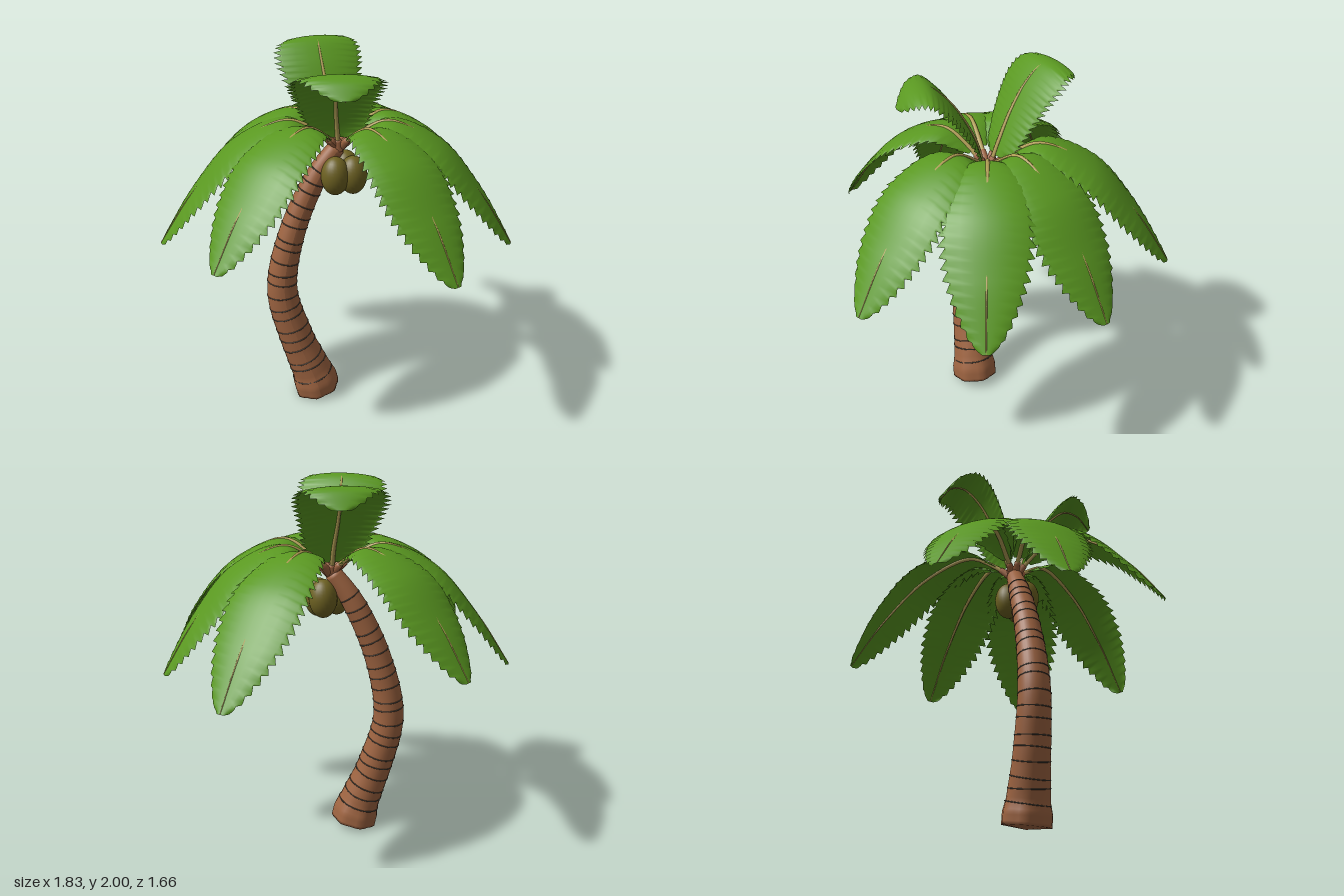
import * as THREE from 'three';

const V = (x, y, z) => new THREE.Vector3(x, y, z);
const UP = V(0, 1, 0);

// Interpolates a short table of [position, value] pairs
function profile(table) {
  return (t) => {
    let i = 0;
    while (i < table.length - 2 && t > table[i + 1][0]) i++;
    const [a, va] = table[i], [b, vb] = table[i + 1];
    return va + (vb - va) * THREE.MathUtils.clamp((t - a) / (b - a), 0, 1);
  };
}

// Tube whose radius follows radius(t, angle)
function taperedTube(curve, segments, sides, radius) {
  const geo = new THREE.TubeGeometry(curve, segments, 1, sides);
  const pos = geo.attributes.position, v = V(0, 0, 0);
  for (let i = 0; i <= segments; i++) {
    const centre = curve.getPointAt(i / segments);
    for (let j = 0; j <= sides; j++) {
      const k = i * (sides + 1) + j;
      v.fromBufferAttribute(pos, k).sub(centre);
      v.multiplyScalar(radius(i / segments, (j / sides) * Math.PI * 2)).add(centre);
      pos.setXYZ(k, v.x, v.y, v.z);
    }
  }
  geo.computeVertexNormals();
  return geo;
}

// Arched, saw-edged leaf swept along a curve
function bladeGeometry(curve, side, { halfWidth, start, sag }) {
  const teeth = 21, perTooth = 4, rows = teeth * perTooth;
  const columns = [-1, -0.84, -0.55, -0.28, 0, 0.28, 0.55, 0.84, 1];
  const n = columns.length, points = [], index = [];
  for (let i = 0; i <= rows; i++) {
    const t = start + (1 - start) * (i / rows);
    const p = curve.getPointAt(t), tangent = curve.getTangentAt(t);
    const normal = side.clone().cross(tangent).normalize();
    const w = halfWidth(t), saw = (i % perTooth) / (perTooth - 1);
    for (const u of columns) {
      const edge = Math.abs(u) === 1;
      const reach = edge ? 0.86 + 0.16 * saw : 1;
      const q = p.clone().addScaledVector(side, u * w * reach);
      q.addScaledVector(normal, -sag(t) * w * u * u - 0.012 * saw * u ** 6);
      if (edge) q.addScaledVector(tangent, 0.018 * saw * (1 - t));
      points.push(q);
    }
  }
  for (let i = 0; i < rows; i++) {
    for (let j = 0; j < n - 1; j++) {
      const a = i * n + j, b = a + 1, c = a + n, d = c + 1;
      index.push(a, b, c, b, d, c);
    }
  }
  const geo = new THREE.BufferGeometry().setFromPoints(points);
  geo.setIndex(index);
  geo.computeVertexNormals();
  return geo;
}

export function createModel() {
  const model = new THREE.Group();
  model.name = 'palmTree';
  const material = (name, color, side = THREE.FrontSide) => {
    const m = new THREE.MeshStandardMaterial({ color, side });
    m.name = name;
    return m;
  };
  const bark = material('bark brown', 0x9e6441);
  const ringDark = material('ring dark', 0x4e483f);
  const leafGreen = material('leaf green', 0x5a9821, THREE.DoubleSide);
  const ribTan = material('rib tan', 0xb09c54);
  const nutOlive = material('coconut olive', 0x6e6222);
  const add = (parent, name, geo, mat) => {
    const mesh = new THREE.Mesh(geo, mat);
    mesh.name = name;
    parent.add(mesh);
    return mesh;
  };

  // Trunk: curved, tapering, with a lobed flare at the foot
  const trunkCurve = new THREE.CatmullRomCurve3([
    V(-0.083, 0.004, 0), V(-0.108, 0.11, 0), V(-0.205, 0.38, -0.012), V(-0.274, 0.68, -0.025),
    V(-0.21, 1.02, -0.03), V(-0.07, 1.34, -0.03), V(0.04, 1.5, -0.02),
  ]);
  const trunkRadius = profile([[0, 0.125], [0.05, 0.126], [0.09, 0.112], [0.2, 0.098],
    [0.42, 0.085], [0.65, 0.072], [0.85, 0.062], [1, 0.045]]);
  add(model, 'trunk', taperedTube(trunkCurve, 100, 28, (t, a) => {
    if (t === 0 || t === 1) return 0;
    const lobes = 0.05 * Math.max(0, 1 - t / 0.12) * Math.sin(a * 7);
    return trunkRadius(t) * (1 + lobes);
  }), bark);

  // Thin dark growth rings
  const rings = new THREE.Group();
  rings.name = 'trunkRings';
  model.add(rings);
  for (let i = 0; i < 20; i++) {
    const t = 0.08 + 0.043 * i + 0.006 * Math.sin(i * 2.3);
    const ring = add(rings, 'trunkRing',
      new THREE.TorusGeometry(trunkRadius(t), 0.0034, 6, 28), ringDark);
    ring.position.copy(trunkCurve.getPointAt(t));
    const tilt = V(0.05 * Math.sin(i * 1.7), 0, 0.05 * Math.cos(i * 2.9));
    ring.quaternion.setFromUnitVectors(V(0, 0, 1),
      trunkCurve.getTangentAt(t).add(tilt).normalize());
  }

  // Coconuts
  for (const [x, y, z] of [[0.012, 1.35, 0.038], [0.11, 1.345, 0.03], [0.085, 1.355, -0.04]]) {
    const nut = add(model, 'coconut', new THREE.SphereGeometry(1, 24, 18), nutOlive);
    nut.scale.set(0.076, 0.105, 0.074);
    nut.position.set(x, y, z);
  }

  // One frond: blade, midrib and woody stem
  function addFrond(points, shape) {
    const frond = new THREE.Group();
    frond.name = 'frond';
    model.add(frond);
    const curve = new THREE.CatmullRomCurve3(points);
    const heading = points[points.length - 1].clone().sub(points[0]).setY(0).normalize();
    const side = heading.cross(UP).normalize();
    add(frond, 'blade', bladeGeometry(curve, side, shape), leafGreen);
    // The rib sinks under the blade where it should not show on top
    const ribPoints = curve.getSpacedPoints(24).map((p, i) => {
      const normal = side.clone().cross(curve.getTangentAt(i / 24));
      return p.addScaledVector(normal, -shape.ribSink(i / 24));
    });
    add(frond, 'midrib', taperedTube(new THREE.CatmullRomCurve3(ribPoints), 40, 8,
      (t) => 0.014 - 0.0118 * t), ribTan);
    const stemCurve = new THREE.CatmullRomCurve3([0, 0.03, 0.06, 0.09].map((t) => curve.getPointAt(t)));
    add(frond, 'stem', taperedTube(stemCurve, 8, 8,
      (t) => (t === 1 ? 0 : 0.026 - 0.01 * t)), bark);
  }

  // Drooping fronds, given by their tips
  const crown = V(0.045, 1.48, -0.02);
  const drooping = {
    start: 0.1,
    halfWidth: profile([[0.1, 0.035], [0.15, 0.08], [0.22, 0.13], [0.34, 0.185], [0.48, 0.222],
      [0.6, 0.228], [0.72, 0.205], [0.83, 0.16], [0.92, 0.106], [0.97, 0.066], [1, 0.022]]),
    sag: (t) => 0.2 - 0.1 * t * t,
    ribSink: (t) => 0.014 * Math.sin(Math.PI * t) ** 4,
  };
  const arch = [[0, 1.48], [0.12, 1.575], [0.28, 1.65], [0.57, 1.535], [0.8, 1.29], [1, 1.0]];
  const tips = [[0.91, 1.02, -0.26], [0.89, 1.02, 0.36], [0.43, 1.05, 0.82], [-0.69, 1.09, 0.52],
    [-0.91, 1.0, -0.09], [-0.6, 1.1, -0.64], [0.57, 1.03, -0.82]];
  for (const [x, y, z] of tips) {
    addFrond(arch.map(([f, h]) => V(
      crown.x + (x - crown.x) * f, h + (y - 1) * f * f, crown.z + (z - crown.z) * f,
    )), drooping);
  }

  // Two upright fronds, broad near the top with round ends
  const upright = {
    start: 0.1,
    halfWidth: profile([[0.1, 0.07], [0.15, 0.14], [0.28, 0.178], [0.44, 0.212], [0.6, 0.24],
      [0.68, 0.24], [0.77, 0.218], [0.875, 0.168], [0.93, 0.125], [0.975, 0.075], [1, 0.025]]),
    sag: (t) => 0.13 - 0.05 * t ** 4,
    ribSink: (t) => 0.012 * t ** 3,
  };
  addFrond([V(0.04, 1.48, -0.03), V(0.03, 1.63, -0.09), V(0.01, 1.78, -0.165),
    V(0, 1.91, -0.25), V(0, 1.99, -0.34), V(0, 1.985, -0.42), V(0, 1.9, -0.49)], upright);
  addFrond([V(0.04, 1.48, 0), V(0.02, 1.63, 0.035), V(0, 1.77, 0.1),
    V(-0.015, 1.89, 0.185), V(-0.025, 1.96, 0.275), V(-0.03, 1.945, 0.36), V(-0.03, 1.87, 0.43)], upright);

  return model;
}
